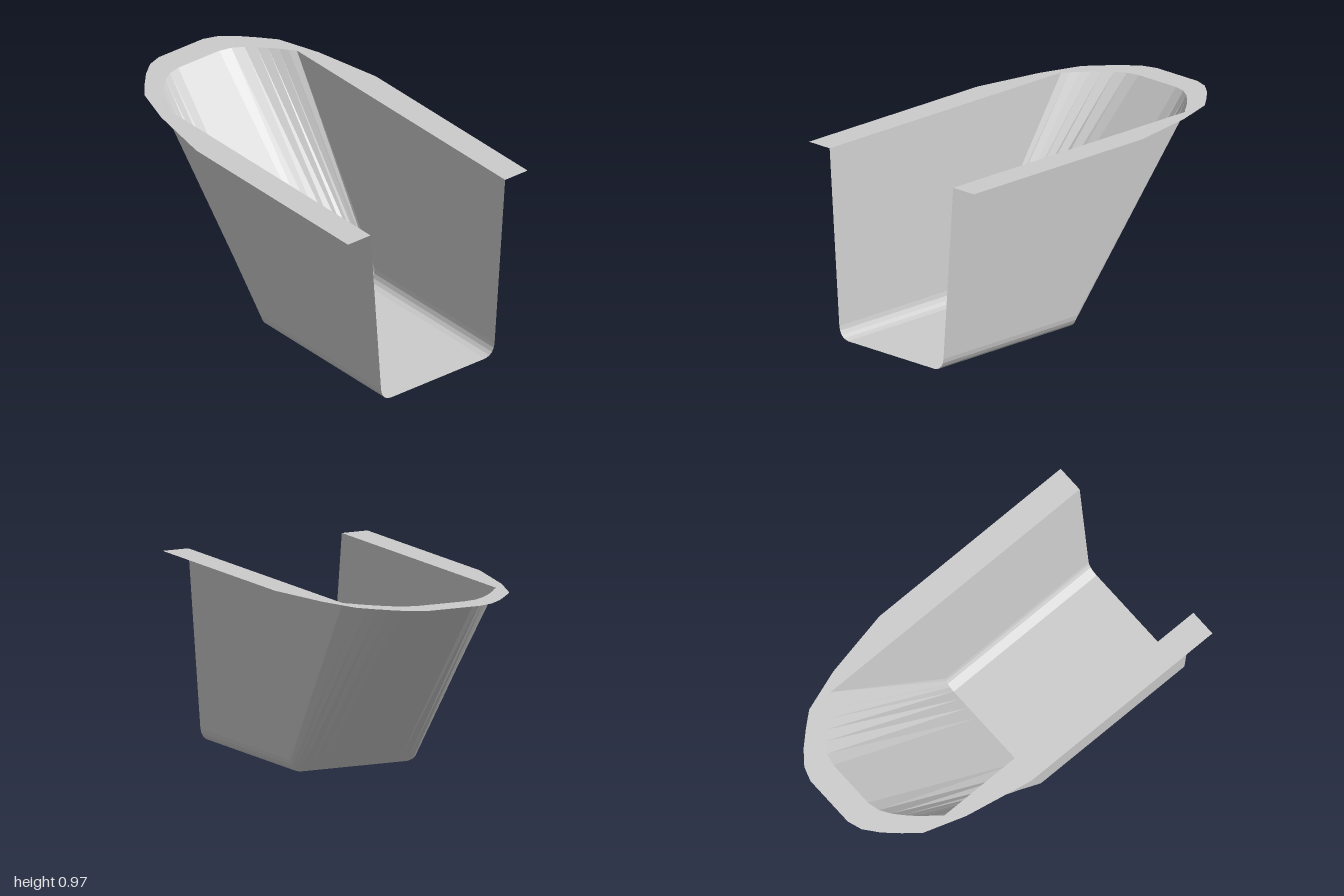
import * as THREE from 'three';

const TOP = 0.972, BEND = 0.07;
const material = new THREE.MeshStandardMaterial({ color: 0xcccccc, flatShading: true, side: THREE.DoubleSide });

// Mirrors a half outline (outermost point first) to a full one running from +x to -x
const mirror = (half) => [...half, ...half.map(([x, ...rest]) => [-x, ...rest]).reverse()];

// Thin ruled surface between two rows of [x, y, z] points
function ruled(name, a, b) {
  const index = [];
  for (let i = 0; i < a.length - 1; i++) {
    const j = i + a.length;
    index.push(i, i + 1, j, i + 1, j + 1, j);
  }
  const geometry = new THREE.BufferGeometry();
  geometry.setAttribute('position', new THREE.Float32BufferAttribute([...a, ...b].flat(), 3));
  geometry.setIndex(index);
  geometry.computeVertexNormals();
  const mesh = new THREE.Mesh(geometry, material);
  mesh.name = name;
  return mesh;
}

export function createModel() {
  const group = new THREE.Group();
  group.name = 'openChute';

  // Rounded trough section [x, y], and the rim [x, z] that the sloping end rises to
  const section = mirror([[0.36, 0.065], [0.355, 0.042], [0.344, 0.022], [0.328, 0.008], [0.3, 0],
    [0.25, 0], [0.19, 0], [0.12, 0]]);
  const rim = mirror([[0.427, -0.62], [0.4, -0.65], [0.37, -0.69], [0.335, -0.73], [0.295, -0.77],
    [0.25, -0.81], [0.195, -0.845], [0.13, -0.86]]);

  // Floor with rounded lower edges
  const bend = section.map(([x, y]) => [x, y, BEND]);
  group.add(ruled('floor', section.map(([x, y]) => [x, y, 1]), bend));

  // Sloping rounded end
  group.add(ruled('slopedEnd', bend, rim.map(([x, z]) => [x, TOP, z])));

  // Slightly flared side walls
  for (const s of [1, -1]) {
    group.add(ruled(s > 0 ? 'leftWall' : 'rightWall',
      [[s * 0.36, 0.065, 1], [s * 0.36, 0.065, BEND]],
      [[s * 0.427, TOP, 1], [s * 0.427, TOP, -0.62]]));
  }

  // Flat flange around the rim, open at the front
  const outer = mirror([[0.57, 1], [0.57, -0.18], [0.5, -0.54], [0.427, -0.76], [0.36, -0.84],
    [0.29, -0.915], [0.215, -0.975], [0.14, -1]]);
  const inner = [[0.427, 1], ...rim, [-0.427, 1]].reverse();
  const shape = new THREE.Shape([...outer, ...inner].map(([x, z]) => new THREE.Vector2(x, -z)));
  const flange = new THREE.Mesh(new THREE.ShapeGeometry(shape).rotateX(-Math.PI / 2), material);
  flange.position.y = TOP;
  flange.name = 'flange';
  group.add(flange);

  return group;
}
